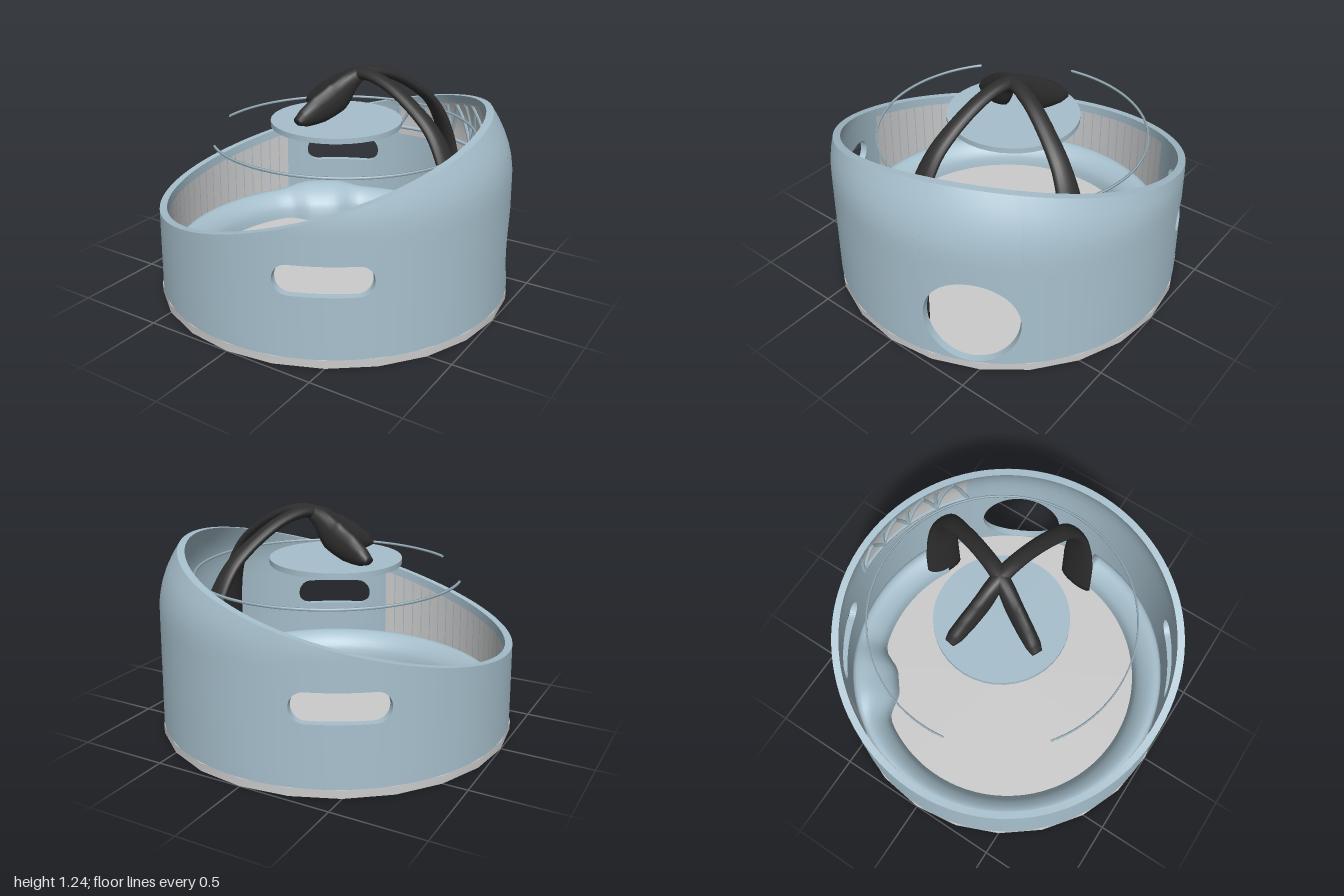
import * as THREE from 'three';
import { mergeGeometries, mergeVertices, toCreasedNormals } from 'three/addons/utils/BufferGeometryUtils.js';

const mat = (color) => new THREE.MeshStandardMaterial({ color, side: THREE.DoubleSide });
const grey = mat(0xcccccc), blue = mat(0xa6bfcc), dark = mat(0x2e2e2e);
const D = Math.PI / 180;
const V = (x, y, z) => new THREE.Vector3(x, y, z);

// Point at an angle around the vertical axis (0 = +x, 90 degrees = +z)
const polar = (a, r, y) => V(Math.cos(a) * r, y, Math.sin(a) * r);
// Wall radius at a height, curving inwards towards the top
const wallR = (y) => 0.995 - 0.02 * y - Math.max(0, y - 0.7) ** 2;
// Slanted rim height
const rimY = (a) => {
  const x = 0.93 * Math.cos(a), z = 0.93 * Math.sin(a);
  return 0.75 + 0.265 * x - 0.125 * z + 0.02 * x * x;
};

// Surface over a grid of nu by nv cells
function grid(nu, nv, fn) {
  const pos = [], idx = [];
  for (let i = 0; i <= nu; i++) {
    for (let j = 0; j <= nv; j++) {
      pos.push(...fn(i / nu, j / nv).toArray());
      if (i === nu || j === nv) continue;
      const a = i * (nv + 1) + j, d = a + nv + 1;
      idx.push(a, a + 1, d + 1, a, d + 1, d);
    }
  }
  const g = new THREE.BufferGeometry();
  g.setAttribute('position', new THREE.Float32BufferAttribute(pos, 3));
  g.setIndex(idx);
  return g;
}

function smooth(g) {
  const m = mergeVertices(g, 1e-5);
  m.computeVertexNormals();
  return m;
}

function add(parent, name, geometry, material) {
  const m = new THREE.Mesh(geometry, material);
  m.name = name;
  parent.add(m);
  return m;
}

// Openings: one round entrance and two opposite grip slots
const slotHalf = (t) => Math.sqrt(Math.max(0, 0.08 ** 2 - Math.max(0, Math.abs(t) - 0.173) ** 2));
const holes = [
  { a: 332.5 * D, half: 0.257, y: 0.305, h: (t) => 0.255 * Math.sqrt(Math.max(0, 1 - (t / 0.257) ** 2)) },
  { a: 60.5 * D, half: 0.253, y: 0.46, h: slotHalf },
  { a: 240.5 * D, half: 0.253, y: 0.46, h: slotHalf },
];
const holeAt = (a) => holes.find((h) => Math.abs(a - h.a) < h.half);

function wallGeometry() {
  // Columns are denser across each opening
  const angles = [];
  for (let i = 0; i <= 96; i++) {
    const a = (i / 96) * Math.PI * 2;
    if (!holeAt(a)) angles.push(a);
  }
  for (const h of holes) for (let i = 0; i <= 32; i++) angles.push(h.a - h.half * Math.cos((i / 32) * Math.PI));
  angles.sort((p, q) => p - q);

  const parts = [];
  const block = (a0, a1, low, high, rows) => {
    const at = (u, v, inset) => {
      const a = a0 + (a1 - a0) * u, y = low(a) + (high(a) - low(a)) * v;
      return polar(a, wallR(y) - inset, y);
    };
    parts.push(
      grid(1, rows, (u, v) => at(u, v, 0)),
      grid(1, rows, (u, v) => at(u, 1 - v, 0.04)),
      grid(1, 1, (u, v) => at(u, 1, 0.04 * v)),
      grid(1, 1, (u, v) => at(u, 0, 0.04 * (1 - v))),
    );
  };
  const floor = () => 0.045;
  for (let i = 0; i + 1 < angles.length; i++) {
    const a0 = angles[i], a1 = angles[i + 1];
    if (a1 - a0 < 1e-6) continue;
    const h = holeAt((a0 + a1) / 2);
    if (h) {
      block(a0, a1, floor, (a) => h.y - h.h(a - h.a), 4);
      block(a0, a1, (a) => h.y + h.h(a - h.a), rimY, 8);
    } else block(a0, a1, floor, rimY, 12);
  }
  return toCreasedNormals(mergeGeometries(parts), 0.6);
}

// Thin panel lying just inside the wall, from a height up to below the rim
const linerPatch = (a0, a1, y0) => grid(3, 8, (u, v) => {
  const a = a0 + (a1 - a0) * u, y = y0 + (rimY(a) - 0.05 - y0) * (1 - v);
  return polar(a, wallR(y) - 0.047, y);
});

// Flat-sided arch: rows of [distance from crossing, height, half width, half thickness]
const archRows = [
  [-0.385, 0.985, 0.03, 0.02], [-0.34, 1.0, 0.042, 0.05], [-0.25, 1.035, 0.045, 0.08],
  [-0.14, 1.09, 0.045, 0.09], [-0.05, 1.17, 0.045, 0.055], [0.04, 1.208, 0.045, 0.032],
  [0.2, 1.18, 0.045, 0.028], [0.38, 1.085, 0.048, 0.028], [0.52, 0.97, 0.055, 0.03],
  [0.62, 0.8, 0.07, 0.032], [0.67, 0.6, 0.09, 0.034], [0.69, 0.35, 0.115, 0.035], [0.7, 0.045, 0.12, 0.035],
];
function archGeometry(innerDir, outerDir) {
  const inner = V(...innerDir).normalize(), outer = V(...outerDir).normalize();
  const path = new THREE.CatmullRomCurve3(archRows.map(([d, y]) => {
    const p = (d < 0 ? inner : outer).clone().multiplyScalar(Math.abs(d));
    return V(p.x + 0.09, y, p.z - 0.1);
  }));
  const side = V(outer.z, 0, -outer.x);
  const size = (t, k) => {
    const f = t * (archRows.length - 1), i = Math.min(Math.floor(f), archRows.length - 2);
    return THREE.MathUtils.lerp(archRows[i][k], archRows[i + 1][k], f - i);
  };
  const n = 60;
  return smooth(grid(n + 2, 16, (u, v) => {
    const step = Math.round(u * (n + 2)), t = Math.min(Math.max(step - 1, 0), n) / n;
    const open = step === 0 || step === n + 2 ? 0 : 1;
    const normal = path.getTangent(t).cross(side).normalize();
    const c = Math.cos(v * Math.PI * 2), s = Math.sin(v * Math.PI * 2);
    return path.getPoint(t)
      .addScaledVector(side, c * size(t, 2) * open)
      .addScaledVector(normal, s * size(t, 3) * open);
  }));
}

export function createModel() {
  const model = new THREE.Group();
  model.name = 'coveredBed';

  // Base plate
  const base = new THREE.CylinderGeometry(1, 1, 0.045, 24);
  add(model, 'basePlate', toCreasedNormals(base, 0.6), grey).position.y = 0.0225;

  // Slanted outer wall
  add(model, 'wall', wallGeometry(), blue);

  // Vertical slats inside the low side
  const slats = new THREE.Group();
  slats.name = 'innerSlats';
  model.add(slats);
  for (let a = 82; a < 218; a += 4) add(slats, 'slat', smooth(linerPatch(a * D, (a + 3.6) * D, 0.1)), grey);

  // Panels and diagonal bracing inside the high side
  const bracing = new THREE.Group();
  bracing.name = 'innerBracing';
  model.add(bracing);
  const strut = (a0, y0, a1, y1) => {
    const pts = [0, 0.25, 0.5, 0.75, 1].map((t) => {
      const y = y0 + (y1 - y0) * t;
      return polar((a0 + (a1 - a0) * t) * D, wallR(y) - 0.05, y);
    });
    add(bracing, 'strut', new THREE.TubeGeometry(new THREE.CatmullRomCurve3(pts), 8, 0.012, 6), blue);
  };
  for (let a = 264; a < 312; a += 12) {
    add(bracing, 'bracePanel', smooth(linerPatch(a * D, (a + 12) * D, 0.6)), grey);
    const top = (q) => rimY(q * D) - 0.06;
    strut(a, 0.65, a, top(a));
    strut(a, 0.65, a + 6, top(a + 6));
    strut(a + 6, top(a + 6), a + 12, 0.65);
    strut(a, 0.65, a + 12, 0.65);
  }

  // Cushion ring, open at the entrance, with a headrest bulge
  const profile = [[1, 0.045], [1, 0.17], [0.85, 0.2], [0.6, 0.195], [0.3, 0.16], [0.08, 0.11], [0, 0.045]];
  const curve = new THREE.SplineCurve(profile.map(([x, y]) => new THREE.Vector2(x, y)));
  const cushion = grid(98, 14, (u, v) => {
    const step = Math.round(u * 98), t = Math.min(Math.max(step - 1, 0), 96) / 96;
    const a = (4 + 294 * t) * D;
    const bulge = Math.exp(-(((a / D - 231) / 13) ** 4));
    const p = curve.getPoint(v), inner = 0.785 - 0.1 * bulge;
    const y = step === 0 || step === 98 ? 0.045 : p.y + (p.y - 0.045) * 0.3 * bulge;
    return polar(a, inner + (0.945 - inner) * p.x, y);
  });
  add(model, 'cushion', smooth(cushion), blue);

  // Crossed arches carrying the round canopy
  add(model, 'backArch', archGeometry([-0.17, 0, 0.33], [0.28, 0, -0.62]), dark);
  add(model, 'sideArch', archGeometry([-0.36, 0, -0.07], [0.7, 0, 0.13]), dark);
  const disc = new THREE.CylinderGeometry(0.365, 0.365, 0.03, 40);
  add(model, 'canopyDisc', toCreasedNormals(disc, 0.6), blue).position.set(-0.01, 0.935, -0.03);

  // Thin open hoop around the canopy
  const hoop = grid(96, 4, (u, v) => {
    const q = v * Math.PI * 2 + Math.PI / 4;
    return polar((-189 + 316 * u) * D, 0.735 + 0.006 * Math.cos(q), 0.873 + 0.009 * Math.sin(q)).add(V(0.025, 0, -0.05));
  });
  add(model, 'hoop', smooth(hoop), blue);

  return model;
}
